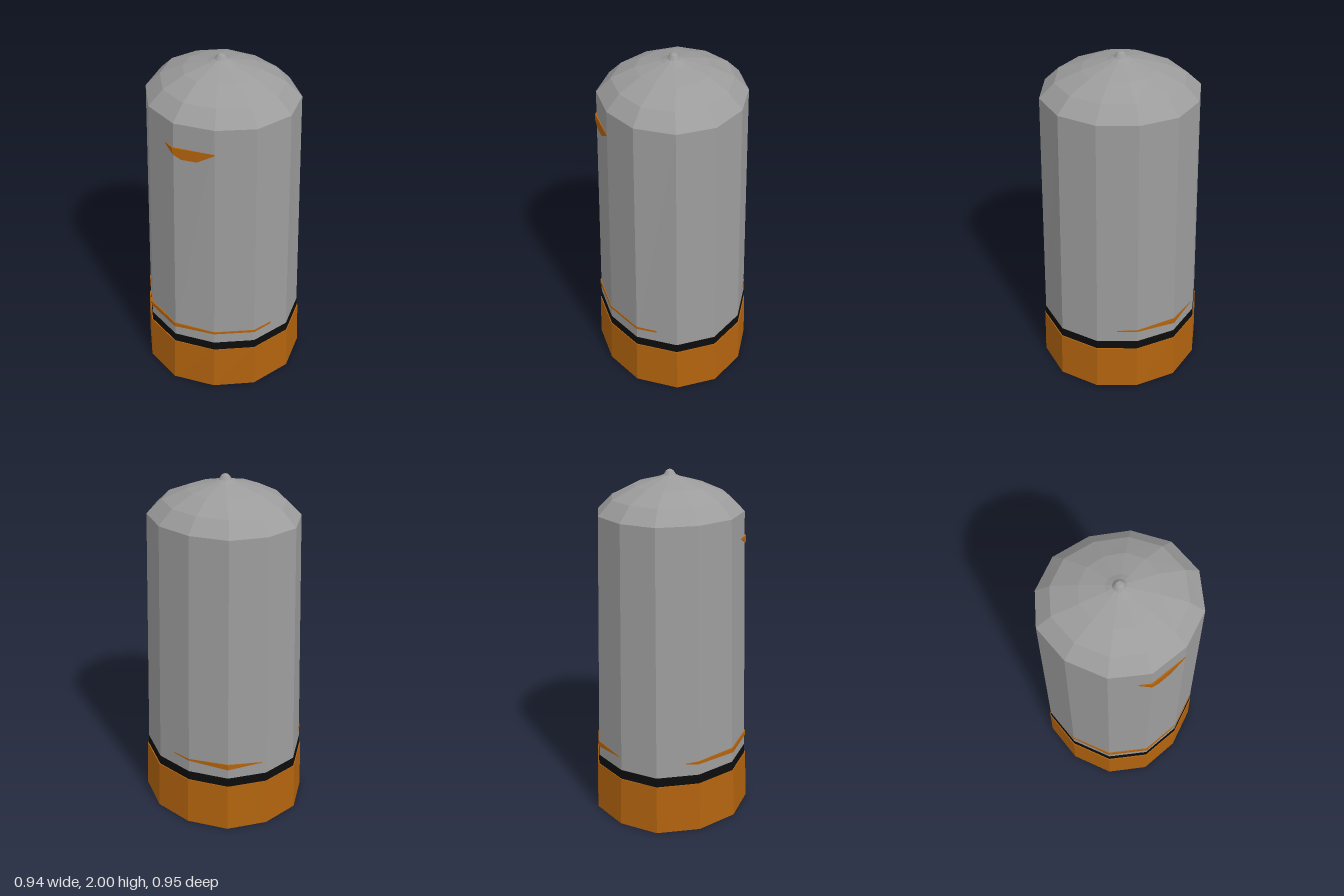
import * as THREE from 'three';

// Slightly uneven twelve-sided footprint, as [x, z] at ground level
const PLAN = [
  [0.47, 0], [0.43, 0.24], [0.265, 0.415], [0.015, 0.475], [-0.22, 0.4], [-0.41, 0.235],
  [-0.475, 0], [-0.403, -0.245], [-0.23, -0.43], [0, -0.475], [0.23, -0.413], [0.395, -0.23],
];
const N = PLAN.length;

const BODY_LOW = { y: 0.35, sx: 0.955, sz: 0.97 };
const BODY_HIGH = { y: 1.78, sx: 0.862, sz: 0.905 };

function material(name, color, side = THREE.FrontSide) {
  const m = new THREE.MeshStandardMaterial({ color, flatShading: true, side });
  m.name = name;
  return m;
}

function geometryFrom(positions, index) {
  const g = new THREE.BufferGeometry();
  g.setAttribute('position', new THREE.Float32BufferAttribute(positions, 3));
  g.setIndex(index);
  const flat = g.toNonIndexed();
  flat.computeVertexNormals();
  return flat;
}

// Stacks scaled copies of the footprint, each row [y, scaleX, scaleZ], capped at both ends
function stack(rows) {
  const p = [], idx = [];
  for (const [y, sx, sz] of rows) for (const [x, z] of PLAN) p.push(x * sx, y, z * sz);
  for (let r = 0; r < rows.length - 1; r++) {
    for (let j = 0; j < N; j++) {
      const a = r * N + j, b = r * N + (j + 1) % N;
      idx.push(a, a + N, b, b, a + N, b + N);
    }
  }
  const low = p.length / 3, high = low + 1, last = (rows.length - 1) * N;
  p.push(0, rows[0][0], 0, 0, rows[rows.length - 1][0], 0);
  for (let j = 0; j < N; j++) {
    const k = (j + 1) % N;
    idx.push(low, j, k, high, last + k, last + j);
  }
  return geometryFrom(p, idx);
}

// Point on the body wall; t counts footprint corners
function wallPoint(t, y, out) {
  const i = Math.floor(t), f = t - i;
  const a = PLAN[i % N], b = PLAN[(i + 1) % N];
  const k = (y - BODY_LOW.y) / (BODY_HIGH.y - BODY_LOW.y);
  const sx = THREE.MathUtils.lerp(BODY_LOW.sx, BODY_HIGH.sx, k) * (1 + out);
  const sz = THREE.MathUtils.lerp(BODY_LOW.sz, BODY_HIGH.sz, k) * (1 + out);
  return [(a[0] + (b[0] - a[0]) * f) * sx, y, (a[1] + (b[1] - a[1]) * f) * sz];
}

// Thin raised strip along the wall; stations are [t, bottom, top, outset]
function strip(stations) {
  const p = [], idx = [];
  for (const [t, y0, y1, out] of stations) {
    p.push(...wallPoint(t, y0, -0.01), ...wallPoint(t, y0, out));
    p.push(...wallPoint(t, y1, out), ...wallPoint(t, y1, -0.01));
  }
  for (let s = 0; s < stations.length - 1; s++) {
    for (let e = 0; e < 3; e++) {
      const a = s * 4 + e;
      idx.push(a, a + 1, a + 4, a + 4, a + 1, a + 5);
    }
  }
  return geometryFrom(p, idx);
}

export function createModel() {
  const model = new THREE.Group();
  model.name = 'capsule';
  const grey = material('grey shell', 0x9c9c9c);
  const orange = material('burnt orange', 0xb2630e);
  const orangeTrim = orange;
  orangeTrim.side = THREE.DoubleSide;
  const black = material('black band', 0x0c0c0c);

  const add = (name, geometry, mat) => {
    const mesh = new THREE.Mesh(geometry, mat);
    mesh.name = name;
    model.add(mesh);
  };

  // Foot and the dark band above it
  add('base', stack([[0, 1, 1], [0.295, 0.975, 0.985]]), orange);
  add('darkBand', stack([[0.29, 0.962, 0.976], [0.35, 0.958, 0.973]]), black);

  // Tapered wall, faceted dome and small tip
  add('body', stack([
    [BODY_LOW.y, BODY_LOW.sx, BODY_LOW.sz], [BODY_HIGH.y, BODY_HIGH.sx, BODY_HIGH.sz],
    [1.86, 0.69, 0.735], [1.92, 0.435, 0.43], [1.957, 0.15, 0.15],
    [1.972, 0.075, 0.075], [1.993, 0.045, 0.045], [2, 0.025, 0.025],
  ]), grey);

  // Narrow seam that surfaces in two arcs around the lower wall
  add('frontSeam', strip([
    [2.5, 0.417, 0.43, 0.002], [3, 0.417, 0.432, 0.006], [4, 0.419, 0.433, 0.008],
    [5, 0.414, 0.44, 0.015], [6, 0.413, 0.441, 0.015], [7, 0.418, 0.435, 0.008],
    [7.3, 0.424, 0.427, 0.002],
  ]), orangeTrim);
  add('backSeam', strip([
    [9.1, 0.424, 0.427, 0.002], [10, 0.41, 0.445, 0.012], [11, 0.423, 0.435, 0.004],
    [11.5, 0.424, 0.43, 0.002],
  ]), orangeTrim);

  // Small tapered lip high on the front right
  add('lip', strip([
    [4, 1.636, 1.642, 0.006], [4.42, 1.58, 1.642, 0.014], [4.8, 1.58, 1.642, 0.02],
    [5, 1.605, 1.642, 0.02], [5.3, 1.636, 1.642, 0.01],
  ]), orangeTrim);

  return model;
}
